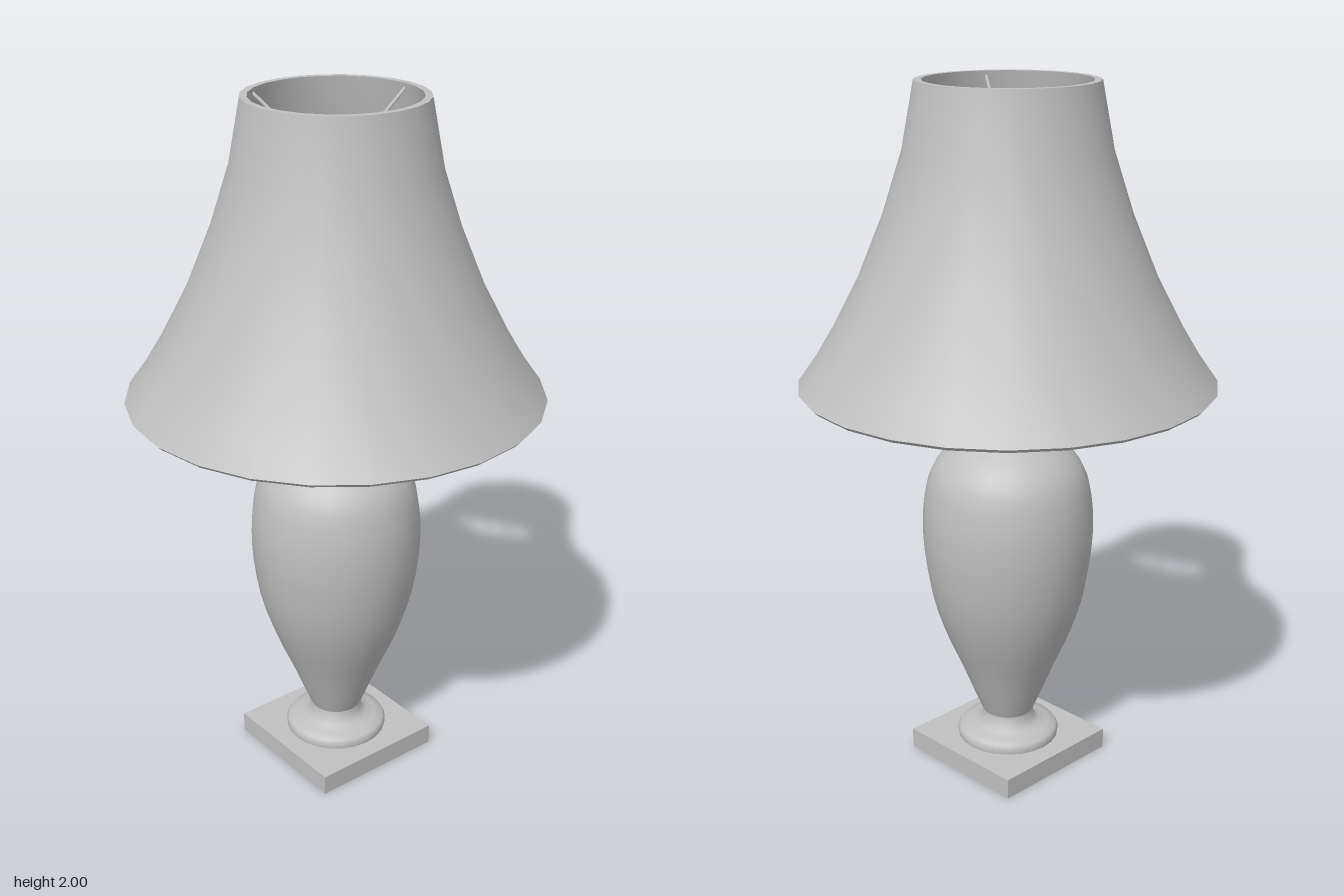
import * as THREE from 'three';
import { toCreasedNormals } from 'three/addons/utils/BufferGeometryUtils.js';

export function createModel() {
  const lamp = new THREE.Group();
  lamp.name = 'tableLamp';
  const grey = new THREE.MeshStandardMaterial({ color: 0xc0c0c0 });
  grey.name = 'plainGrey';

  const add = (name, geometry) => {
    const mesh = new THREE.Mesh(geometry, grey);
    mesh.name = name;
    lamp.add(mesh);
    return mesh;
  };
  // Turned part from [radius, height] pairs, with crisp edges kept
  const turned = (name, pairs, sides = 24, crease = 0.6) => {
    const pts = pairs.map(([r, y]) => new THREE.Vector2(r, y));
    return add(name, toCreasedNormals(new THREE.LatheGeometry(pts, sides), crease));
  };
  // Thin wire through points
  const wire = (name, pts, r, steps) => add(name, new THREE.TubeGeometry(
    new THREE.CatmullRomCurve3(pts.map(p => new THREE.Vector3(...p))), steps, r, 6));

  // Square plinth
  add('plinth', new THREE.BoxGeometry(0.41, 0.06, 0.41)).position.y = 0.03;

  // Round foot
  turned('foot', [[0, 0.06], [0.15, 0.06], [0.152, 0.075], [0.145, 0.087], [0.12, 0.093],
    [0.092, 0.102], [0.078, 0.115], [0.075, 0.145]], 24, 0.9);

  // Vase-shaped body, smoothed through its key radii
  const bodyCurve = new THREE.SplineCurve([[0.075, 0.14], [0.1, 0.2], [0.14, 0.3], [0.183, 0.4],
    [0.222, 0.52], [0.243, 0.65], [0.247, 0.75], [0.24, 0.83], [0.222, 0.905], [0.185, 0.958],
    [0.14, 0.995], [0.095, 1.025]].map(p => new THREE.Vector2(...p)));
  add('body', new THREE.LatheGeometry(bodyCurve.getPoints(24), 24));

  // Flared collar
  turned('collar', [[0.095, 1.022], [0.105, 1.05], [0.13, 1.1], [0.128, 1.112], [0.118, 1.122], [0, 1.122]]);

  // Stem, socket and switch
  turned('stem', [[0.034, 1.11], [0.034, 1.25]], 16);
  turned('socket', [[0, 1.235], [0.046, 1.235], [0.046, 1.33], [0.038, 1.345], [0, 1.345]], 16);
  const shaft = add('switchShaft', new THREE.CylinderGeometry(0.007, 0.007, 0.05, 8));
  shaft.position.set(0.045, 1.215, 0);
  shaft.rotation.z = Math.PI / 2;
  const knob = add('switchKnob', new THREE.CylinderGeometry(0.015, 0.015, 0.014, 10));
  knob.position.set(0.072, 1.215, 0);
  knob.rotation.z = Math.PI / 2;

  // Bulb
  turned('bulb', [[0.038, 1.34], [0.048, 1.37], [0.075, 1.41], [0.098, 1.455], [0.107, 1.5],
    [0.1, 1.545], [0.078, 1.58], [0.042, 1.603], [0, 1.61]], 20, 1.2);

  // Harp: one wire each side of the bulb, up to the spider ring
  for (const s of [-1, 1]) {
    wire('harpWire', [[s * 0.04, 1.26, 0], [s * 0.085, 1.265, 0], [s * 0.1, 1.34, 0],
      [s * 0.135, 1.46, 0], [s * 0.14, 1.58, 0], [s * 0.115, 1.72, 0],
      [s * 0.075, 1.8, 0], [s * 0.045, 1.83, 0]], 0.005, 24);
  }

  // Spider: centre ring with three sloping arms to the shade
  turned('spiderRing', [[0.04, 1.825], [0.05, 1.825], [0.05, 1.837], [0.04, 1.837], [0.04, 1.825]], 20);
  for (let i = 0; i < 3; i++) {
    const a = Math.PI + i * Math.PI * 2 / 3;
    const at = (r, y) => [Math.sin(a) * r, y, Math.cos(a) * r];
    wire('spiderArm', [at(0.047, 1.832), at(0.235, 1.985)], 0.005, 1);
  }

  // Bell shade with wall thickness and a small lower lip
  const outer = [[0.588, 1.172], [0.535, 1.247], [0.488, 1.325], [0.412, 1.47], [0.34, 1.645],
    [0.285, 1.815], [0.25, 2]];
  const inner = outer.map(([r, y], i) => [r - 0.02, i === 0 ? 1.178 : y]).reverse();
  turned('shade', [[0.565, 1.162], [0.578, 1.162], ...outer, ...inner, [0.565, 1.162]]);

  return lamp;
}
